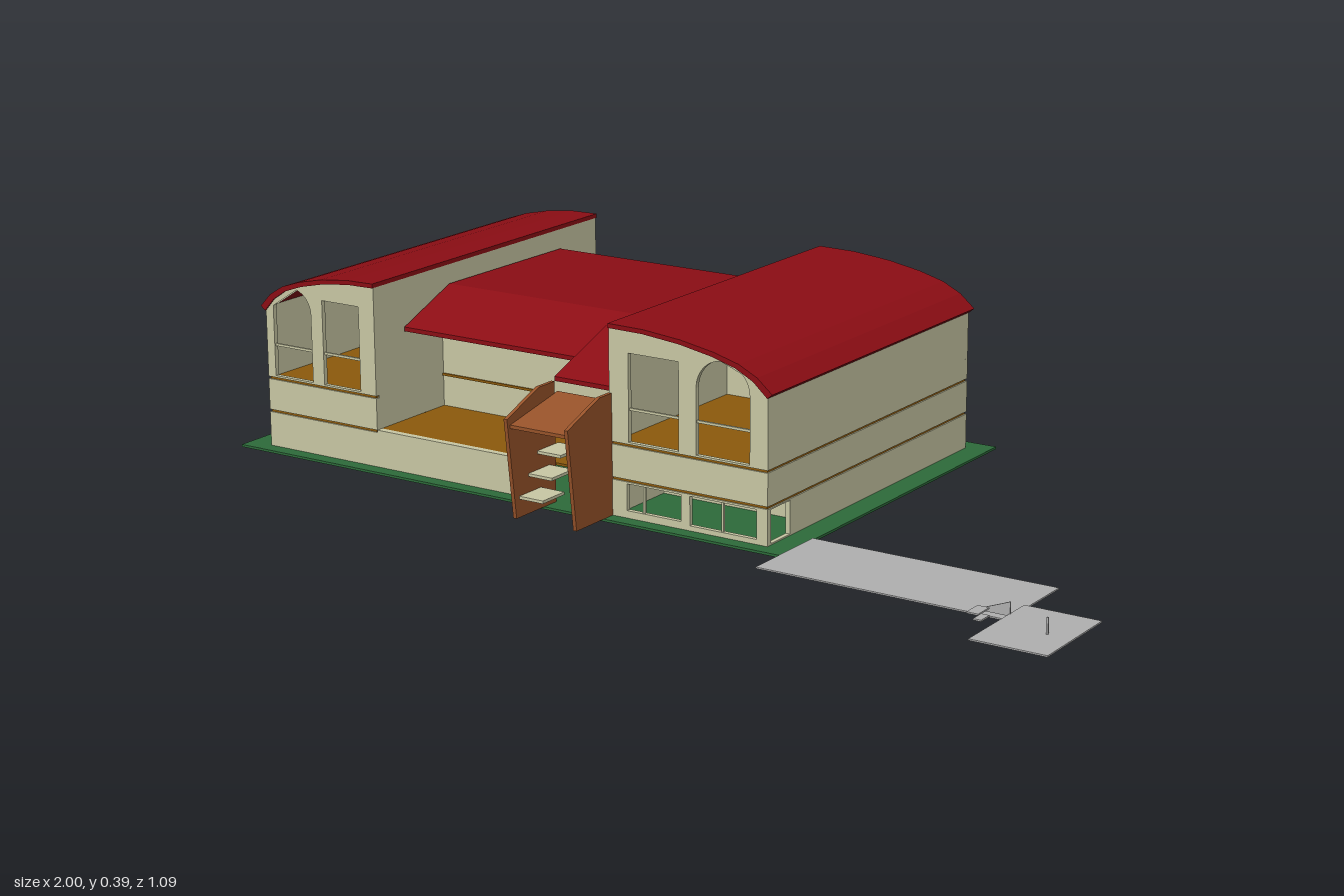
import * as THREE from 'three';

const mat = (color) => new THREE.MeshStandardMaterial({ color, side: THREE.DoubleSide, flatShading: true });
const RED = mat(0x8c0d14), GREEN = mat(0x2d6b3a), BEIGE = mat(0xc9c8a5);
const OCHRE = mat(0x8c5a0c), BROWN = mat(0x98532a), GREY = mat(0xb0b0b0);
const T = 0.01; // wall thickness
const BACK = -0.49, FRONT = 0.28;

// Polygon from [u, v] points
const poly = (pts) => new THREE.Shape(pts.map((p) => new THREE.Vector2(...p)));

// Rectangular hole, optionally with a round top
function opening(x0, x1, y0, y1, arched = false) {
  const p = new THREE.Path();
  const r = (x1 - x0) / 2, s = arched ? y1 - r : y1;
  p.moveTo(x0, y0);
  p.lineTo(x1, y0);
  p.lineTo(x1, s);
  if (arched) p.absarc(x0 + r, s, r, 0, Math.PI, false);
  else p.lineTo(x0, s);
  p.lineTo(x0, y0);
  return p;
}

export function createModel() {
  const model = new THREE.Group();

  const add = (name, geo, m, parent = model) => {
    const mesh = new THREE.Mesh(geo, m);
    mesh.name = name;
    parent.add(mesh);
    return mesh;
  };
  // Box given by its limits
  const box = (name, m, x0, x1, y0, y1, z0, z1, parent) =>
    add(name, new THREE.BoxGeometry(x1 - x0, y1 - y0, z1 - z0)
      .translate((x0 + x1) / 2, (y0 + y1) / 2, (z0 + z1) / 2), m, parent);
  // Outline in x,y extruded along z
  const alongZ = (name, m, pts, z0, z1, holes = [], parent = model) => {
    const s = poly(pts);
    s.holes.push(...holes);
    return add(name, new THREE.ExtrudeGeometry(s, { depth: z1 - z0, bevelEnabled: false, curveSegments: 10 })
      .translate(0, 0, z0), m, parent);
  };
  // Outline in z,y extruded along x
  const alongX = (name, m, pts, x0, x1, holes = [], parent = model) => {
    const s = poly(pts);
    s.holes.push(...holes);
    return add(name, new THREE.ExtrudeGeometry(s, { depth: x1 - x0, bevelEnabled: false })
      .rotateY(-Math.PI / 2).translate(x1, 0, 0), m, parent);
  };
  const rect = (a0, a1, b0, b1) => [[a0, b0], [a1, b0], [a1, b1], [a0, b1]];

  box('lawn', GREEN, -1, 0.325, 0, 0.005, -0.53, 0.31);

  // Curved roof section: fraction from inner to outer edge, height
  const arc = [[0, 0.388], [0.22, 0.387], [0.45, 0.379], [0.65, 0.366], [0.8, 0.351], [0.91, 0.331], [1, 0.303]];

  // Wing with storeys, gables and a half-vaulted roof
  function wing(name, inner, outer, frontHoles, backHoles, lowHoles, sideHoles, partitionTop) {
    const g = new THREE.Group();
    g.name = name;
    model.add(g);
    const dir = Math.sign(outer - inner);
    const x0 = Math.min(inner, outer), x1 = Math.max(inner, outer);
    const roofOuter = outer + dir * 0.011;
    const curve = arc.map(([t, y]) => [inner + (roofOuter - inner) * t, y]);
    const under = curve.map(([x, y], i) => [x - dir * 0.011 * (i / 6), y - 0.009]);
    alongZ('vaultedRoof', RED, [...curve, ...under.slice().reverse()], BACK - 0.004, FRONT + 0.003, [], g);
    // Gables and lower end walls
    const gable = [[inner, 0.154], ...under, [outer, 0.154]];
    alongZ('frontGable', BEIGE, gable, FRONT - T, FRONT, frontHoles, g);
    alongZ('backGable', BEIGE, gable, BACK, BACK + T, backHoles, g);
    alongZ('frontLowerWall', BEIGE, rect(x0, x1, 0.005, 0.078), FRONT - T, FRONT, lowHoles, g);
    box('frontMiddleWall', BEIGE, x0, x1, 0.083, 0.149, FRONT - T, FRONT, g);
    box('backLowerWall', BEIGE, x0, x1, 0.005, 0.078, BACK, BACK + T, g);
    box('backMiddleWall', BEIGE, x0, x1, 0.083, 0.149, BACK, BACK + T, g);
    // Long outer and inner walls
    const o0 = Math.min(outer, outer - dir * T), i0 = Math.min(inner, inner + dir * T);
    alongX('outerLowerWall', BEIGE, rect(BACK, FRONT, 0.005, 0.078), o0, o0 + T, sideHoles, g);
    box('outerMiddleWall', BEIGE, o0, o0 + T, 0.083, 0.149, BACK, FRONT, g);
    box('outerUpperWall', BEIGE, o0, o0 + T, 0.154, 0.305, BACK, FRONT, g);
    box('innerWall', BEIGE, i0, i0 + T, 0.083, 0.379, BACK + T, FRONT - T, g);
    // Floors and room divider
    for (const y of [0.078, 0.149]) box('floor', OCHRE, x0 + 0.003, x1 - 0.003, y, y + 0.005, BACK + 0.003, FRONT - 0.003, g);
    box('roomDivider', BEIGE, x0 + T, x1 - T, 0.154, partitionTop, -0.13, -0.12, g);
  }

  wing('rightWing', -0.66, -0.945,
    [opening(-0.925, -0.825, 0.158, 0.35, true), opening(-0.795, -0.7, 0.158, 0.335)],
    [opening(-0.925, -0.825, 0.158, 0.35, true), opening(-0.795, -0.7, 0.158, 0.335)],
    [], [], 0.225);
  wing('leftWing', -0.085, 0.275,
    [opening(-0.04, 0.075, 0.158, 0.335), opening(0.115, 0.235, 0.158, 0.35, true)],
    [opening(-0.04, 0.075, 0.225, 0.335), opening(0.115, 0.235, 0.225, 0.35, true)],
    [opening(-0.045, 0.08, 0.02, 0.074), opening(0.1, 0.25, 0.015, 0.074)],
    [opening(0.2, 0.268, 0.008, 0.075)], 0.3);

  // Window rails and mullions
  for (const [a, b] of [[-0.925, -0.825], [-0.795, -0.7], [-0.04, 0.075], [0.115, 0.235]])
    box('windowRail', BEIGE, a, b, 0.221, 0.226, FRONT - 0.008, FRONT - 0.003);
  for (const x of [-0.01, 0.17]) box('lowerMullion', BEIGE, x, x + 0.005, 0.015, 0.076, FRONT - 0.008, FRONT - 0.003);
  box('groundRoomWall', BEIGE, -0.075, 0.265, 0.005, 0.078, 0.1, 0.11);
  box('passageWall', BEIGE, -0.085, -0.075, 0.005, 0.078, BACK, FRONT);

  // Central hall: ground storey, terrace, recessed front and back walls
  box('terraceWall', BEIGE, -0.66, -0.225, 0.005, 0.083, 0.265, FRONT);
  box('hallFloor', OCHRE, -0.66, -0.085, 0.078, 0.083, BACK + 0.003, 0.265);
  box('mezzanine', OCHRE, -0.66, -0.4, 0.148, 0.153, BACK + T, 0.063);
  const doors = (top) => [opening(-0.39, -0.34, 0.086, top), opening(-0.31, -0.265, 0.086, top)];
  alongZ('hallFrontWall', BEIGE, rect(-0.66, -0.085, 0.083, 0.3), 0.05, 0.06, doors(0.15));
  alongZ('hallBackWall', BEIGE, rect(-0.66, -0.085, 0.005, 0.27), BACK, BACK + T,
    [...doors(0.235), opening(-0.16, -0.09, 0.007, 0.074)]);
  box('hallPassageWall', BEIGE, -0.175, -0.165, 0.005, 0.078, BACK + T, 0.26);

  // Folded central roof, reaching further forward over the entrance
  const fold = (z, y) => [[z, y], [0.04, 0.34], [-0.35, 0.338], [-0.545, 0.258],
    [-0.54, 0.25], [-0.348, 0.329], [0.037, 0.331], [z, y - 0.009]];
  alongX('hallRoof', RED, fold(0.19, 0.28), -0.655, -0.225);
  alongX('entranceRoof', RED, fold(0.265, 0.258), -0.225, -0.085);

  // Entrance porch: slanted cheeks, canopy and treads
  const porch = new THREE.Group();
  porch.name = 'porch';
  model.add(porch);
  const cheek = [[0.27, 0.005], [0.4, 0.005], [0.425, 0.21], [0.32, 0.25], [0.27, 0.25]];
  for (const x of [-0.229, -0.087]) alongX('cheek', BROWN, cheek, x, x + 0.008, [], porch);
  alongX('canopy', BROWN, [[0.415, 0.19], [0.415, 0.197], [0.26, 0.228], [0.26, 0.221]], -0.222, -0.086, [], porch);
  [[0.042, 0.37], [0.08, 0.34], [0.118, 0.31]].forEach(([y, z]) =>
    box('tread', BEIGE, -0.221, -0.165, y, y + 0.006, z - 0.05, z + 0.02, porch));

  // Paved path, lower court and small fittings
  box('path', GREY, 0.325, 0.845, 0.006, 0.009, 0.2, 0.4);
  box('court', GREY, 0.848, 1, 0.016, 0.019, 0.34, 0.545);
  alongZ('ramp', GREY, [[0.78, 0.015], [0.85, 0.015], [0.85, 0.042]], 0.394, 0.397);
  box('rampRail', GREY, 0.835, 0.858, 0.058, 0.061, 0.49, 0.53);
  box('fitting', GREY, 0.84, 0.856, 0.042, 0.045, 0.485, 0.515);
  box('post', GREY, 0.949, 0.953, 0.005, 0.05, 0.45, 0.453);

  return model;
}
